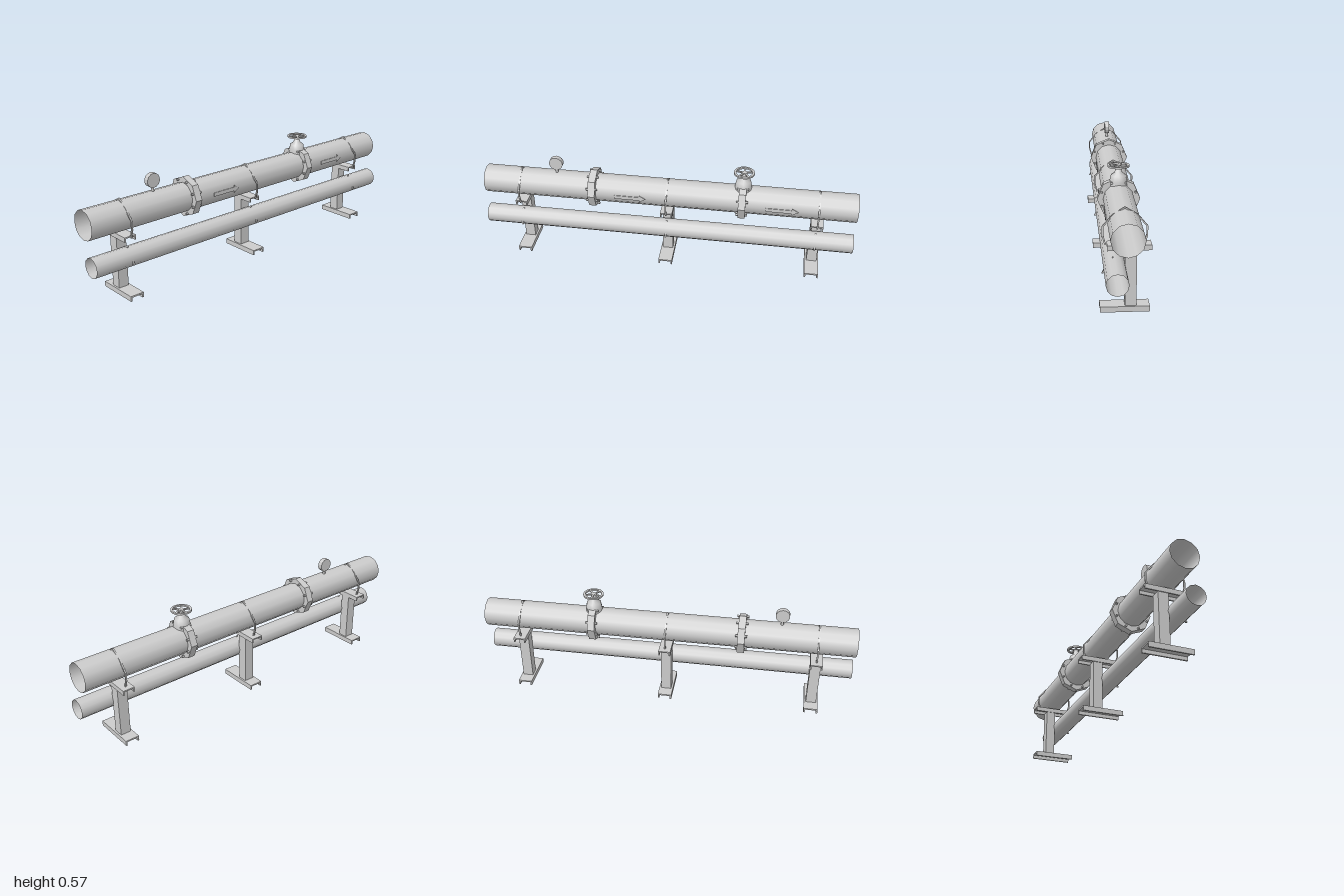
import * as THREE from 'three';

const steel = new THREE.MeshStandardMaterial({ color: 0xcccccc, side: THREE.DoubleSide });
steel.name = 'grey steel';

const PIPE_Y = 0.404, PIPE_Z = 0.004;

function part(parent, name, geo, x = 0, y = 0, z = 0) {
  const m = new THREE.Mesh(geo, steel);
  m.name = name;
  m.position.set(x, y, z);
  parent.add(m);
  return m;
}

function group(parent, name, x = 0, y = 0, z = 0) {
  const g = new THREE.Group();
  g.name = name;
  g.position.set(x, y, z);
  parent.add(g);
  return g;
}

const faceted = (geo) => {
  const g = geo.toNonIndexed();
  g.computeVertexNormals();
  return g;
};

// Cylinder lying along x
const xCylinder = (r, len, sides, open = false) =>
  new THREE.CylinderGeometry(r, r, len, sides, 1, open).rotateZ(Math.PI / 2);

// Bent flat bar: outer path of [z, y] points, thickened towards a centre
function strap(points, cz, cy, thickness, width) {
  const inner = points.map(([z, y]) => {
    const d = Math.hypot(z - cz, y - cy), k = (d - thickness) / d;
    return [cz + (z - cz) * k, cy + (y - cy) * k];
  });
  const outline = [...points, ...inner.reverse()].map((p) => new THREE.Vector2(...p));
  return new THREE.ExtrudeGeometry(new THREE.Shape(outline), { depth: width, bevelEnabled: false })
    .translate(0, 0, -width / 2).rotateY(-Math.PI / 2);
}

// Channel along z, open underneath
function channel(w, h, len, t) {
  const a = w / 2;
  const s = new THREE.Shape([[-a, 0], [-a + t, 0], [-a + t, h - t], [a - t, h - t],
    [a - t, 0], [a, 0], [a, h], [-a, h]].map((p) => new THREE.Vector2(...p)));
  return new THREE.ExtrudeGeometry(s, { depth: len, bevelEnabled: false }).translate(0, 0, -len / 2);
}

function addSupport(root, x) {
  const g = group(root, 'support', x);
  part(g, 'basePlate', channel(0.075, 0.027, 0.227, 0.008), 0, 0, 0.0045);
  part(g, 'post', new THREE.BoxGeometry(0.055, 0.275, 0.053), 0, 0.161, -0.0225);
  part(g, 'saddle', channel(0.064, 0.025, 0.2, 0.007), 0, 0.295, -0.016);
  const upper = [[0.094, 0.312], [0.107, 0.357], [0.107, 0.4], [0.059, 0.457], [0.004, 0.491],
    [-0.054, 0.457], [-0.1, 0.4], [-0.1, 0.357], [-0.087, 0.312]];
  part(g, 'upperStrap', strap(upper, 0.004, 0.39, 0.008, 0.008));
  const lower = [[0.108, 0.178], [0.084, 0.228], [0.057, 0.256], [0.021, 0.24], [0.002, 0.215]];
  part(g, 'lowerStrap', strap(lower, 0.055, 0.17, 0.008, 0.008));
}

function addFlange(root, x) {
  const g = group(root, 'flange', x, PIPE_Y, PIPE_Z);
  part(g, 'flangeRing', faceted(xCylinder(0.106, 0.038, 8)));
  for (let i = 0; i < 8; i++) {
    const a = (i + 0.5) * Math.PI / 4;
    part(g, 'bolt', xCylinder(0.006, 0.062, 6), 0, Math.sin(a) * 0.09, Math.cos(a) * 0.09);
  }
}

function addValve(root, x) {
  const g = group(root, 'valve', x, 0, PIPE_Z);
  const profile = [[0.046, 0.46], [0.044, 0.49], [0.038, 0.52], [0.019, 0.534], [0.013, 0.562], [0, 0.562]];
  part(g, 'bonnet', new THREE.LatheGeometry(profile.map((p) => new THREE.Vector2(...p)), 12));
  // Handwheel: flat rim, hub and spokes
  const rim = new THREE.Shape().absarc(0, 0, 0.054, 0, Math.PI * 2);
  rim.holes.push(new THREE.Path().absarc(0, 0, 0.043, 0, Math.PI * 2, true));
  part(g, 'wheelRim', new THREE.ExtrudeGeometry(rim, { depth: 0.009, bevelEnabled: false, curveSegments: 10 })
    .rotateX(-Math.PI / 2), 0, 0.563, 0);
  part(g, 'wheelHub', new THREE.CylinderGeometry(0.014, 0.014, 0.012, 10), 0, 0.566, 0);
  for (let i = 0; i < 5; i++) {
    part(g, 'wheelSpoke', new THREE.BoxGeometry(0.04, 0.007, 0.009).translate(0.027, 0, 0), 0, 0.567, 0)
      .rotation.y = i * Math.PI * 2 / 5 + Math.PI / 2;
  }
}

function addGauge(root, x) {
  const g = group(root, 'gauge', x, 0, 0.004);
  part(g, 'gaugeStem', new THREE.CylinderGeometry(0.008, 0.008, 0.05, 8), 0, 0.485, 0);
  part(g, 'gaugeDial', faceted(new THREE.CylinderGeometry(0.037, 0.037, 0.026, 14).rotateX(Math.PI / 2)), 0, 0.535, 0);
}

// Thin arrow plate on the pipe's front face
function arrowGeometry() {
  const s = new THREE.Shape([[-0.085, -0.01], [0.05, -0.01], [0.05, -0.021], [0.085, 0],
    [0.05, 0.021], [0.05, 0.01], [-0.085, 0.01]].map((p) => new THREE.Vector2(...p)));
  return new THREE.ExtrudeGeometry(s, { depth: 0.003, bevelEnabled: false });
}

export function createModel() {
  const root = new THREE.Group();
  root.name = 'pipeline';

  part(root, 'upperPipe', xCylinder(0.076, 2, 12, true), 0, PIPE_Y, PIPE_Z);
  part(root, 'lowerPipe', xCylinder(0.051, 2, 12, true), 0, 0.203, 0.049);

  for (const x of [-0.8, 0, 0.8]) addSupport(root, x);
  for (const x of [-0.4, 0.4]) addFlange(root, x);
  for (const x of [-0.195, 0.61]) part(root, 'flowArrow', arrowGeometry(), x, 0.4, 0.081);
  addValve(root, 0.4);
  addGauge(root, -0.605);

  return root;
}
